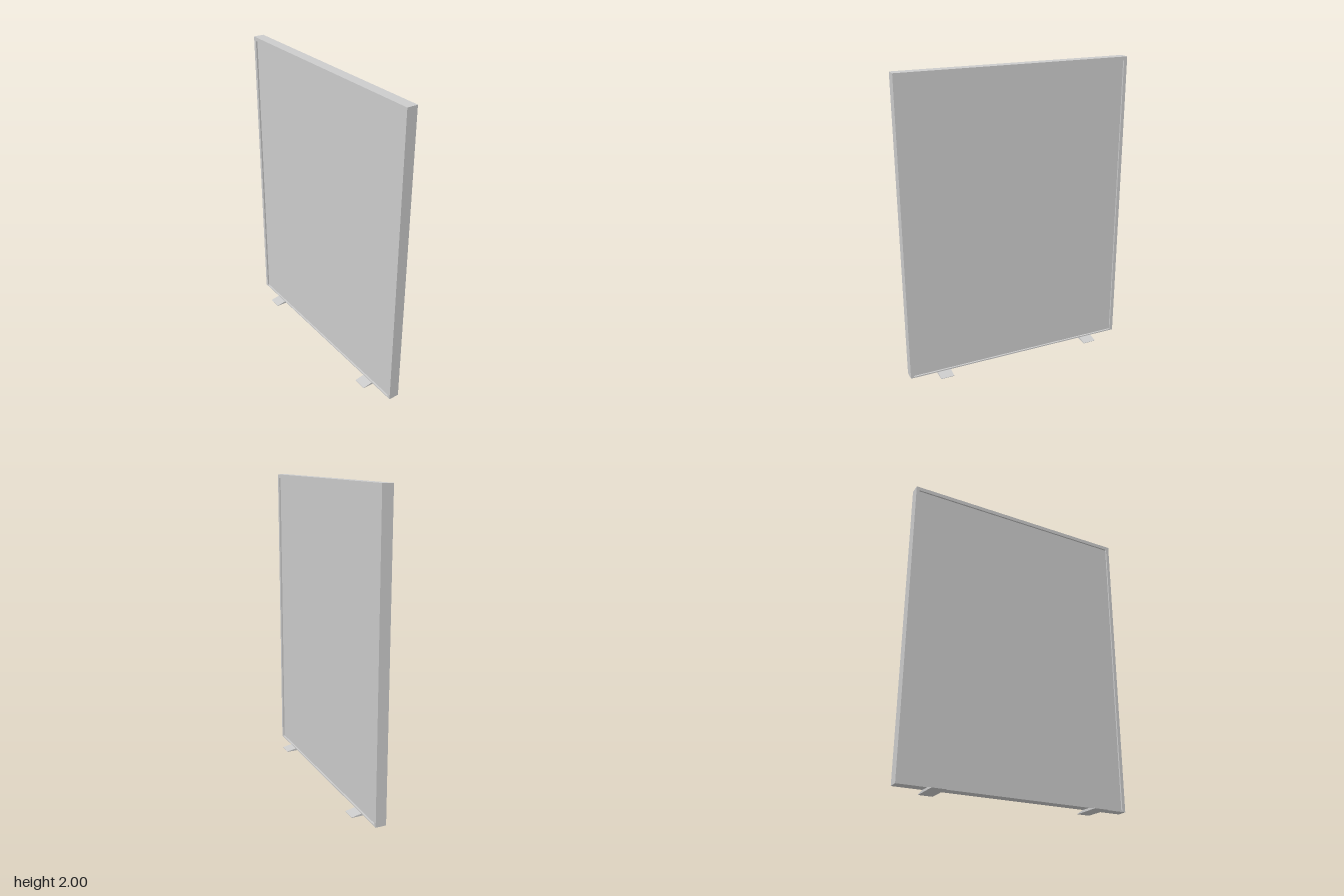
import * as THREE from 'three';

const W = 1.536, BOTTOM = 0.015, TOP = 2, DEPTH = 0.07; // frame outer size
const SIDE = 0.022, RAIL_TOP = 0.025, RAIL_BOTTOM = 0.008; // frame face widths
const RECESS = 0.011;

export function createModel() {
  const group = new THREE.Group();
  const material = new THREE.MeshStandardMaterial({ color: 0xcccccc, flatShading: true });
  const add = (name, geometry, x = 0, y = 0, z = 0) => {
    const mesh = new THREE.Mesh(geometry, material);
    mesh.name = name;
    mesh.position.set(x, y, z);
    group.add(mesh);
  };

  // Frame: one rectangle with a rectangular opening, extruded along x
  const rect = (Type, z0, y0, z1, y1) => new Type([
    new THREE.Vector2(z0, y0), new THREE.Vector2(z1, y0),
    new THREE.Vector2(z1, y1), new THREE.Vector2(z0, y1),
  ]);
  const outline = rect(THREE.Shape, -W / 2, BOTTOM, W / 2, TOP);
  const z = W / 2 - SIDE, y0 = BOTTOM + RAIL_BOTTOM, y1 = TOP - RAIL_TOP;
  outline.holes.push(rect(THREE.Path, -z, y0, z, y1));
  const frame = new THREE.ExtrudeGeometry(outline, { depth: DEPTH, bevelEnabled: false });
  frame.translate(0, 0, -DEPTH / 2).rotateY(Math.PI / 2);
  add('frame', frame);

  // Infill panel, set back from both faces of the frame
  add('panel', new THREE.BoxGeometry(DEPTH - 2 * RECESS, y1 - y0, 2 * z), 0, (y0 + y1) / 2);

  // Flat feet, tapering to thin tips on both sides
  const profile = new THREE.Shape([
    [-0.1, 0], [0.1, 0], [0.1, 0.003], [0.035, BOTTOM], [-0.035, BOTTOM], [-0.1, 0.003],
  ].map(([x, y]) => new THREE.Vector2(x, y)));
  const foot = new THREE.ExtrudeGeometry(profile, { depth: 0.09, bevelEnabled: false });
  foot.translate(0, 0, -0.045);
  for (const [name, s] of [['frontFoot', 1], ['backFoot', -1]]) add(name, foot, 0, 0, s * 0.5375);

  return group;
}
